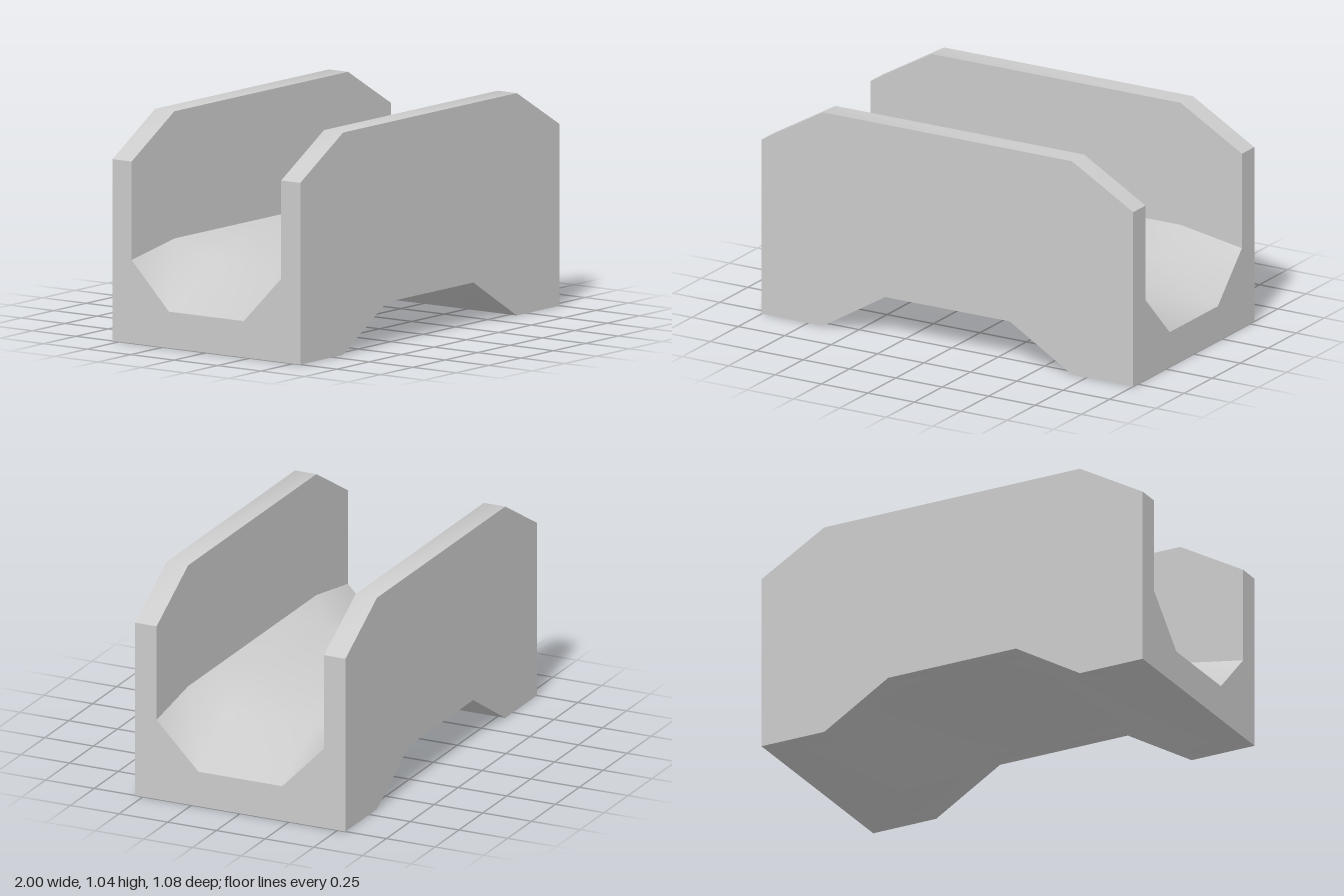
import * as THREE from 'three';
import { toCreasedNormals } from 'three/addons/utils/BufferGeometryUtils.js';

const material = new THREE.MeshStandardMaterial({ color: 0xcccccc });
const WALL_IN = 0.43, WALL_OUT = 0.54, FLOOR = 0.215;
const stations = [-1, -0.67, -0.335, 0.335, 0.67, 1];
const underside = [0, 0, 0.2, 0.2, 0, 0];
// Deck heights at each station: beside the walls and along the floor
const deckEdge = [0.39, 0.445, 0.445, 0.445, 0.445, 0.39];
const deckFloor = [0.17, 0.355, 0.445, 0.445, 0.355, 0.17];

// Smooth sheet from rows of points, facing up (or down when flipped)
function sheet(rows, flip) {
  const n = rows[0].length, index = [];
  for (let i = 0; i < rows.length - 1; i++) {
    for (let j = 0; j < n - 1; j++) {
      const a = i * n + j, b = a + 1, c = b + n, d = a + n;
      index.push(...(flip ? [a, d, b, b, d, c] : [a, b, d, b, c, d]));
    }
  }
  const geo = new THREE.BufferGeometry();
  geo.setAttribute('position', new THREE.Float32BufferAttribute(rows.flat(2), 3));
  geo.setIndex(index);
  geo.computeVertexNormals();
  return geo;
}

export function createModel() {
  const group = new THREE.Group();
  const add = (name, geo) => {
    const mesh = new THREE.Mesh(geo, material);
    mesh.name = name;
    group.add(mesh);
    return mesh;
  };

  // Side walls: chamfered top corners, arch cut from the bottom
  const outline = stations.map((x, i) => new THREE.Vector2(x, underside[i]));
  outline.push(...[[1, 0.85], [0.67, 1.04], [-0.67, 1.04], [-1, 0.85]].map(p => new THREE.Vector2(...p)));
  const wall = toCreasedNormals(new THREE.ExtrudeGeometry(new THREE.Shape(outline),
    { depth: WALL_OUT - WALL_IN, bevelEnabled: false }), 0.65);
  add('frontWall', wall).position.z = WALL_IN;
  add('backWall', wall).position.z = -WALL_OUT;

  // Humped deck, flat on top and dished toward both ends
  add('deck', sheet(stations.map((x, i) => [
    [x, deckEdge[i], -WALL_IN], [x, deckFloor[i], -FLOOR],
    [x, deckFloor[i], FLOOR], [x, deckEdge[i], WALL_IN],
  ]), false));

  // Arched underside between the walls
  add('underside', sheet(stations.map((x, i) => [
    [x, underside[i], -WALL_IN], [x, underside[i], WALL_IN],
  ]), true));

  // End faces below the dished deck
  const section = new THREE.Shape([
    [-WALL_IN, 0], [WALL_IN, 0], [WALL_IN, deckEdge[0]],
    [FLOOR, deckFloor[0]], [-FLOOR, deckFloor[0]], [-WALL_IN, deckEdge[0]],
  ].map(p => new THREE.Vector2(...p)));
  for (const s of [1, -1]) {
    const end = add(s > 0 ? 'leftEnd' : 'rightEnd', new THREE.ShapeGeometry(section));
    end.rotation.y = s * Math.PI / 2;
    end.position.x = s;
  }
  return group;
}
